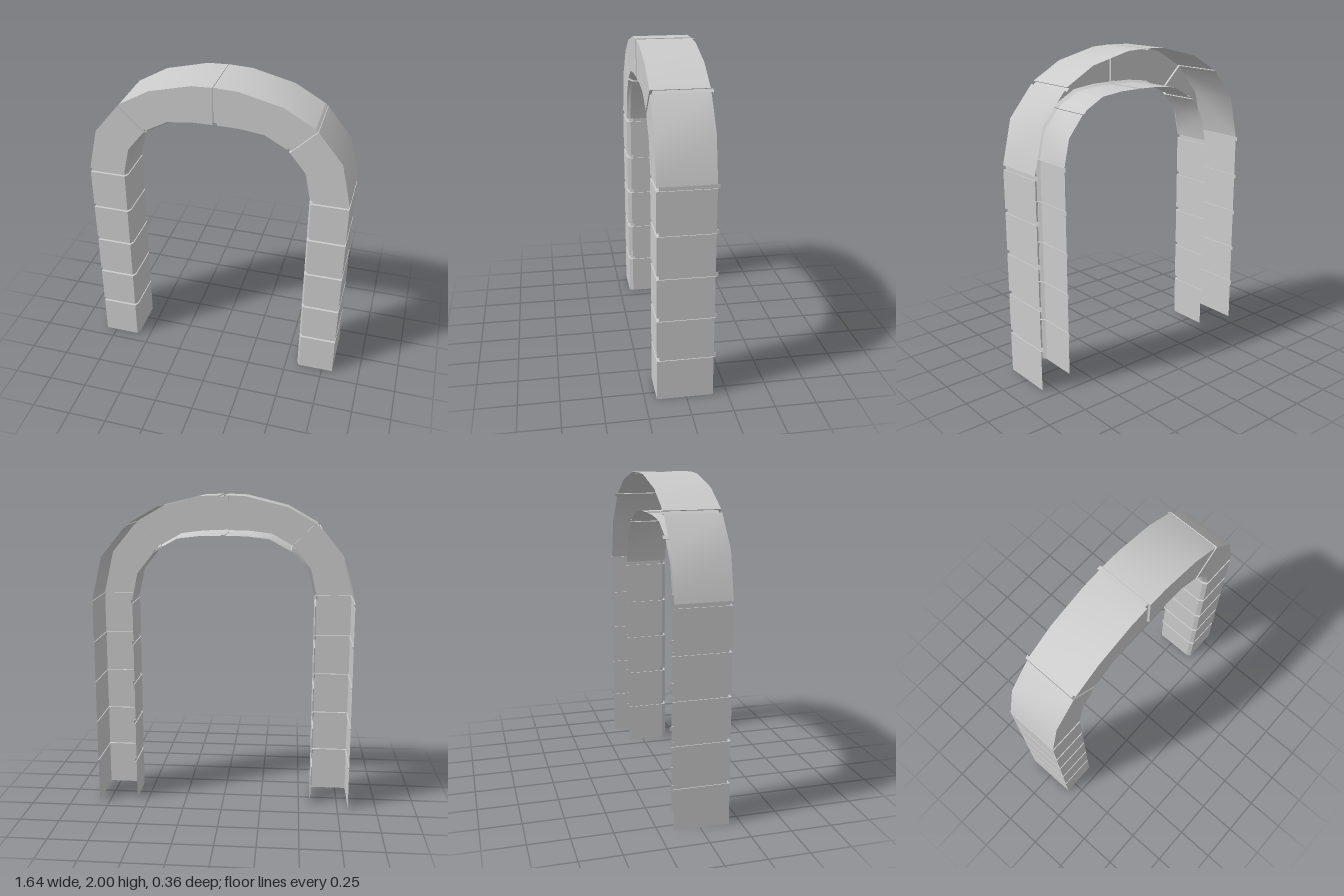
import * as THREE from 'three';
import { toCreasedNormals } from 'three/addons/utils/BufferGeometryUtils.js';

const FRONT = 0.178, BACK = -0.162, INNER_BACK = -0.105;
const CHAMFER_W = 0.014, CHAMFER_D = 0.026;
const JOINT_Z = 0.016, JOINT_IN = 0.006;

// Open cross-section at one station [outerX, outerY, innerX, innerY]:
// outer wall, front face, chamfer, inner wall. Sunk stations form the joints.
function section([ox, oy, ix, iy], sunk) {
  const outer = new THREE.Vector2(ox, oy), inner = new THREE.Vector2(ix, iy);
  const dir = inner.clone().sub(outer).normalize();
  const dz = sunk ? -JOINT_Z : 0;
  if (sunk) {
    outer.addScaledVector(dir, JOINT_IN);
    inner.addScaledVector(dir, -JOINT_IN);
  }
  const edge = inner.clone().addScaledVector(dir, -CHAMFER_W);
  return [
    [outer, BACK], [outer, FRONT], [edge, FRONT],
    [inner, FRONT - CHAMFER_D], [inner, INNER_BACK],
  ].map(([p, z]) => [p.x, p.y, z + dz]);
}

// Skin a row of cross-sections
function skin(sections) {
  const n = sections[0].length, index = [];
  for (let i = 0; i < sections.length - 1; i++) {
    for (let j = 0; j < n - 1; j++) {
      const a = i * n + j, b = a + 1, c = a + n, d = c + 1;
      index.push(a, c, b, b, c, d);
    }
  }
  const geo = new THREE.BufferGeometry();
  geo.setAttribute('position', new THREE.Float32BufferAttribute(sections.flat(2), 3));
  geo.setIndex(index);
  // enlarge while creasing so that small steps stay distinct
  geo.scale(100, 100, 100);
  const creased = toCreasedNormals(geo, 0.47);
  creased.scale(0.01, 0.01, 0.01);
  return creased;
}

export function createModel() {
  const group = new THREE.Group();
  group.name = 'archway';
  const material = new THREE.MeshStandardMaterial({ color: 0xcccccc, side: THREE.DoubleSide });

  // Blocks of one half, from the ground to the crown
  const leg = (y) => [0.82, y, 0.577, y];
  const half = [];
  const jointCentres = [0.272, 0.535, 0.803, 1.067, 1.334];
  let bottom = 0;
  for (const y of jointCentres) {
    half.push({ name: 'legBlock', stations: [leg(bottom), leg(y - 0.013)] });
    bottom = y + 0.013;
  }
  half.push({
    name: 'shoulderBlock',
    stations: [leg(bottom), [0.757, 1.62, 0.54, 1.515], [0.604, 1.806, 0.438, 1.642]],
  });
  half.push({
    name: 'crownBlock',
    stations: [
      [0.586, 1.824, 0.42, 1.66], [0.4, 1.93, 0.287, 1.733],
      [0.138, 1.995, 0.145, 1.75], [0.013, 2, 0.013, 1.752],
    ],
  });

  // Mirror into the full run from one foot to the other
  const mirrored = half.map(({ name, stations }) => ({
    name,
    stations: stations.map(([ox, oy, ix, iy]) => [-ox, oy, -ix, iy]).reverse(),
  })).reverse();
  const blocks = [...half, ...mirrored];

  const add = (name, sections) => {
    const mesh = new THREE.Mesh(skin(sections), material);
    mesh.name = name;
    group.add(mesh);
  };

  blocks.forEach(({ name, stations }, i) => {
    add(name, stations.map((s) => section(s, false)));
    // Sunken joint up to the next block
    if (i < blocks.length - 1) {
      const start = stations[stations.length - 1], end = blocks[i + 1].stations[0];
      add('joint', [section(start, false), section(start, true), section(end, true), section(end, false)]);
    }
  });
  return group;
}
